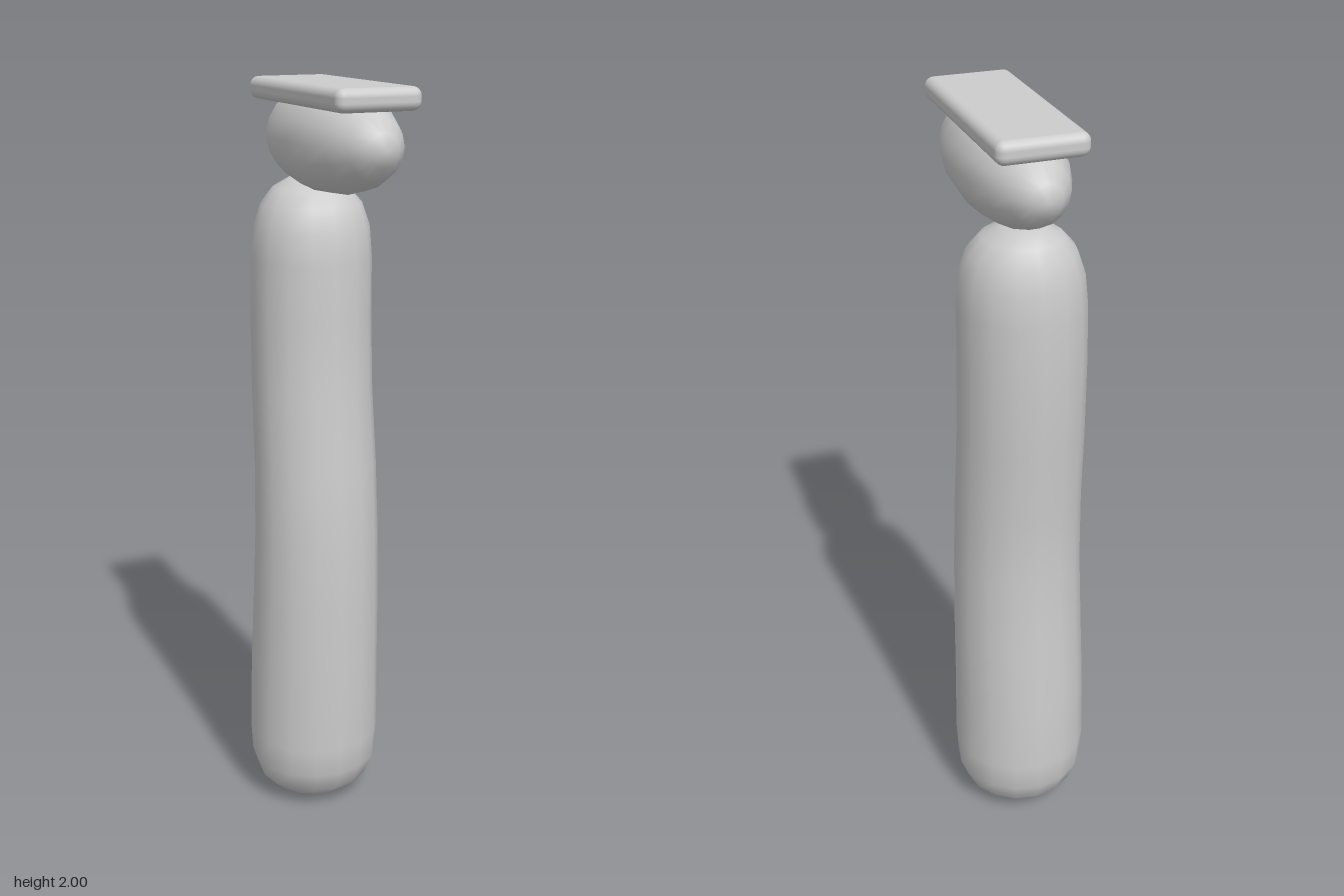
import * as THREE from 'three';
import { RoundedBoxGeometry } from 'three/addons/geometries/RoundedBoxGeometry.js';

const SIDES = 16;

// Smooth closed skin over elliptical sections [y, centreX, centreZ, radiusX, radiusZ]
function loft(sections) {
  const points = [];
  const index = [];
  for (const [y, cx, cz, rx, rz] of sections) {
    for (let i = 0; i < SIDES; i++) {
      const a = (i / SIDES) * Math.PI * 2;
      points.push(cx + rx * Math.sin(a), y, cz + rz * Math.cos(a));
    }
  }
  for (let r = 0; r < sections.length - 1; r++) {
    for (let i = 0; i < SIDES; i++) {
      const j = (i + 1) % SIDES;
      const a = r * SIDES + i, b = r * SIDES + j;
      const c = a + SIDES, d = b + SIDES;
      index.push(a, b, d, a, d, c);
    }
  }
  // End caps as fans around a centre point
  const last = (sections.length - 1) * SIDES;
  const bottom = points.length / 3;
  const first = sections[0], top = sections[sections.length - 1];
  points.push(first[1], first[0] - 0.004, first[2]);
  points.push(top[1], top[0] + 0.003, top[2]);
  for (let i = 0; i < SIDES; i++) {
    const j = (i + 1) % SIDES;
    index.push(bottom, j, i, bottom + 1, last + i, last + j);
  }
  const geometry = new THREE.BufferGeometry();
  geometry.setAttribute('position', new THREE.Float32BufferAttribute(points, 3));
  geometry.setIndex(index);
  geometry.computeVertexNormals();
  return geometry;
}

export function createModel() {
  const model = new THREE.Group();
  model.name = 'razor';
  const grey = new THREE.MeshStandardMaterial({ color: 0xcccccc });
  grey.name = 'light grey';

  const add = (name, geometry, x = 0, y = 0, z = 0) => {
    const mesh = new THREE.Mesh(geometry, grey);
    mesh.name = name;
    mesh.position.set(x, y, z);
    model.add(mesh);
    return mesh;
  };

  // Gently S-curved handle with rounded ends
  add('handle', loft([
    [0.006, 0, -0.1, 0.06, 0.06],
    [0.025, 0, -0.1, 0.115, 0.11],
    [0.06, 0, -0.1, 0.155, 0.15],
    [0.12, 0, -0.1, 0.177, 0.175],
    [0.2, 0, -0.1, 0.181, 0.182],
    [0.4, 0, -0.095, 0.178, 0.178],
    [0.6, 0.002, -0.088, 0.174, 0.172],
    [0.8, 0.003, -0.083, 0.169, 0.165],
    [1.0, 0.004, -0.092, 0.165, 0.161],
    [1.2, 0.005, -0.113, 0.162, 0.158],
    [1.4, 0.006, -0.122, 0.16, 0.159],
    [1.55, 0.008, -0.123, 0.159, 0.157],
    [1.63, 0.01, -0.125, 0.152, 0.15],
    [1.69, 0.011, -0.128, 0.132, 0.131],
    [1.73, 0.012, -0.135, 0.098, 0.1],
    [1.752, 0.012, -0.145, 0.05, 0.06],
  ]));

  // Egg-shaped neck, long axis front to back
  const neck = new THREE.SphereGeometry(1, 16, 10);
  neck.rotateX(Math.PI / 2);
  neck.scale(0.127, 0.131, 0.3);
  add('headBody', neck, 0.01, 1.861, 0);

  // Flat plate with bevelled edges on top
  add('headPlate', new RoundedBoxGeometry(0.222, 0.056, 0.546, 3, 0.022), 0.011, 1.972, -0.005);

  return model;
}
